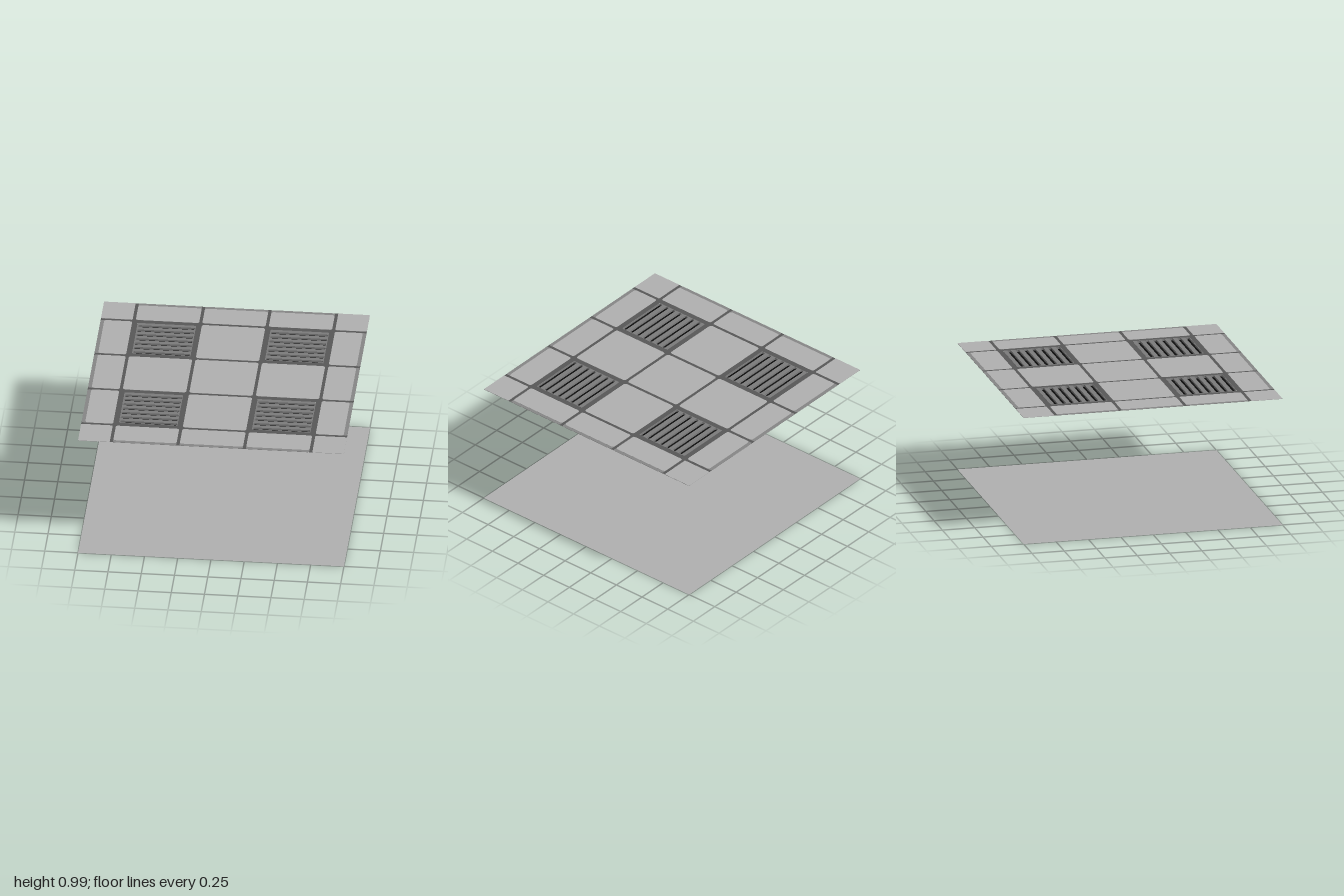
import * as THREE from 'three';

const CEILING_Y = 0.986;

function material(name, color, side = THREE.FrontSide) {
  const m = new THREE.MeshStandardMaterial({ color, side });
  m.name = name;
  return m;
}

// Rectangle outline between two corners, with rounded corners when r > 0
function outline(target, x0, y0, x1, y1, r) {
  target.moveTo(x0 + r, y0);
  target.lineTo(x1 - r, y0);
  if (r) target.quadraticCurveTo(x1, y0, x1, y0 + r);
  target.lineTo(x1, y1 - r);
  if (r) target.quadraticCurveTo(x1, y1, x1 - r, y1);
  target.lineTo(x0 + r, y1);
  if (r) target.quadraticCurveTo(x0, y1, x0, y1 - r);
  target.lineTo(x0, y0 + r);
  if (r) target.quadraticCurveTo(x0, y0, x0 + r, y0);
  return target;
}

// Flat shape turned to lie in the xz plane (shape y becomes -z)
function slab(shape, depth, y) {
  const g = depth > 0
    ? new THREE.ExtrudeGeometry(shape, { depth, bevelEnabled: false, curveSegments: 4 })
    : new THREE.ShapeGeometry(shape);
  return g.rotateX(-Math.PI / 2).translate(0, y, 0);
}

export function createModel() {
  const root = new THREE.Group();
  root.name = 'floorAndCeiling';

  const lightGrey = material('light grey', 0xb0b0b0, THREE.DoubleSide);
  const darkGrey = material('dark grey', 0x585858, THREE.DoubleSide);
  const trimGrey = material('trim grey', 0x868686);
  const grilleGrey = material('grille grey', 0x7b7b7b);
  const black = material('black', 0x0c0c0c);
  const teal = material('teal', 0x48a6ac);

  const add = (parent, name, geometry, mat) => {
    const mesh = new THREE.Mesh(geometry, mat);
    mesh.name = name;
    parent.add(mesh);
    return mesh;
  };

  // Floor sheet
  add(root, 'floor', new THREE.PlaneGeometry(2, 2).rotateX(-Math.PI / 2), lightGrey);

  // Dark ceiling lattice with an opening for each lamp
  const lattice = outline(new THREE.Shape(), -1, -1, 1, 1, 0);
  for (const x of [-0.5, 0.5]) for (const z of [-0.5, 0.5]) {
    lattice.holes.push(outline(new THREE.Path(), x - 0.22, z - 0.22, x + 0.22, z + 0.22, 0));
  }
  add(root, 'ceilingLattice', slab(lattice, 0, CEILING_Y), darkGrey);

  // Ceiling tiles, with a trim strip along the outer edge of the side tiles
  const spans = [[-1, -0.762], [-0.738, -0.262], [-0.238, 0.238], [0.262, 0.738], [0.762, 1]];
  const tileDepth = 0.003;
  const tiles = new THREE.Group();
  tiles.name = 'ceilingTiles';
  root.add(tiles);
  spans.forEach(([x0, x1], i) => spans.forEach(([y0, y1], j) => {
    if (i % 2 === 1 && j % 2 === 1) return; // lamp bays
    const edgeX = i % 4 === 0, edgeY = j % 4 === 0;
    let [a, b, c, d] = [x0, y0, x1, y1];
    if (edgeX !== edgeY) {
      const trim = outline(new THREE.Shape(), x0, y0, x1, y1, 0.015);
      add(tiles, 'tileTrim', slab(trim, 0.002, CEILING_Y - 0.001), trimGrey);
      if (i === 0) a += 0.028;
      if (i === 4) c -= 0.028;
      if (j === 0) b += 0.028;
      if (j === 4) d -= 0.028;
    }
    const tile = outline(new THREE.Shape(), a, b, c, d, edgeX && edgeY ? 0.008 : 0.022);
    add(tiles, 'ceilingTile', slab(tile, tileDepth, CEILING_Y - tileDepth / 2), lightGrey);
  }));

  // Grille plate with seven rounded slots
  const grille = outline(new THREE.Shape(), -0.22, -0.22, 0.22, 0.22, 0.012);
  for (let k = 0; k < 7; k++) {
    const y = 0.175 - k * 0.0627;
    grille.holes.push(outline(new THREE.Path(), -0.214, y - 0.014, 0.214, y + 0.014, 0.01));
  }
  const grilleGeometry = slab(grille, 0.0145, 0.973);
  const backing = new THREE.PlaneGeometry(0.438, 0.438).rotateX(-Math.PI / 2).translate(0, 0.9725, 0);

  // Lamp housing: square funnel hanging under the ceiling
  const housing = new THREE.CylinderGeometry(
    0.245 * Math.SQRT2, 0.205 * Math.SQRT2, 0.021, 4, 1, true, Math.PI / 4
  ).toNonIndexed();
  housing.computeVertexNormals();
  housing.translate(0, 0.9755, 0);
  const diffuser = new THREE.PlaneGeometry(0.41, 0.41).rotateX(Math.PI / 2).translate(0, 0.965, 0);

  for (const x of [-0.5, 0.5]) for (const z of [-0.5, 0.5]) {
    const lamp = new THREE.Group();
    lamp.name = 'ceilingLamp';
    lamp.position.set(x, 0, z);
    add(lamp, 'grille', grilleGeometry, grilleGrey);
    add(lamp, 'grilleBacking', backing, black);
    add(lamp, 'lampHousing', housing, teal);
    add(lamp, 'lampDiffuser', diffuser, lightGrey);
    root.add(lamp);
  }
  return root;
}
